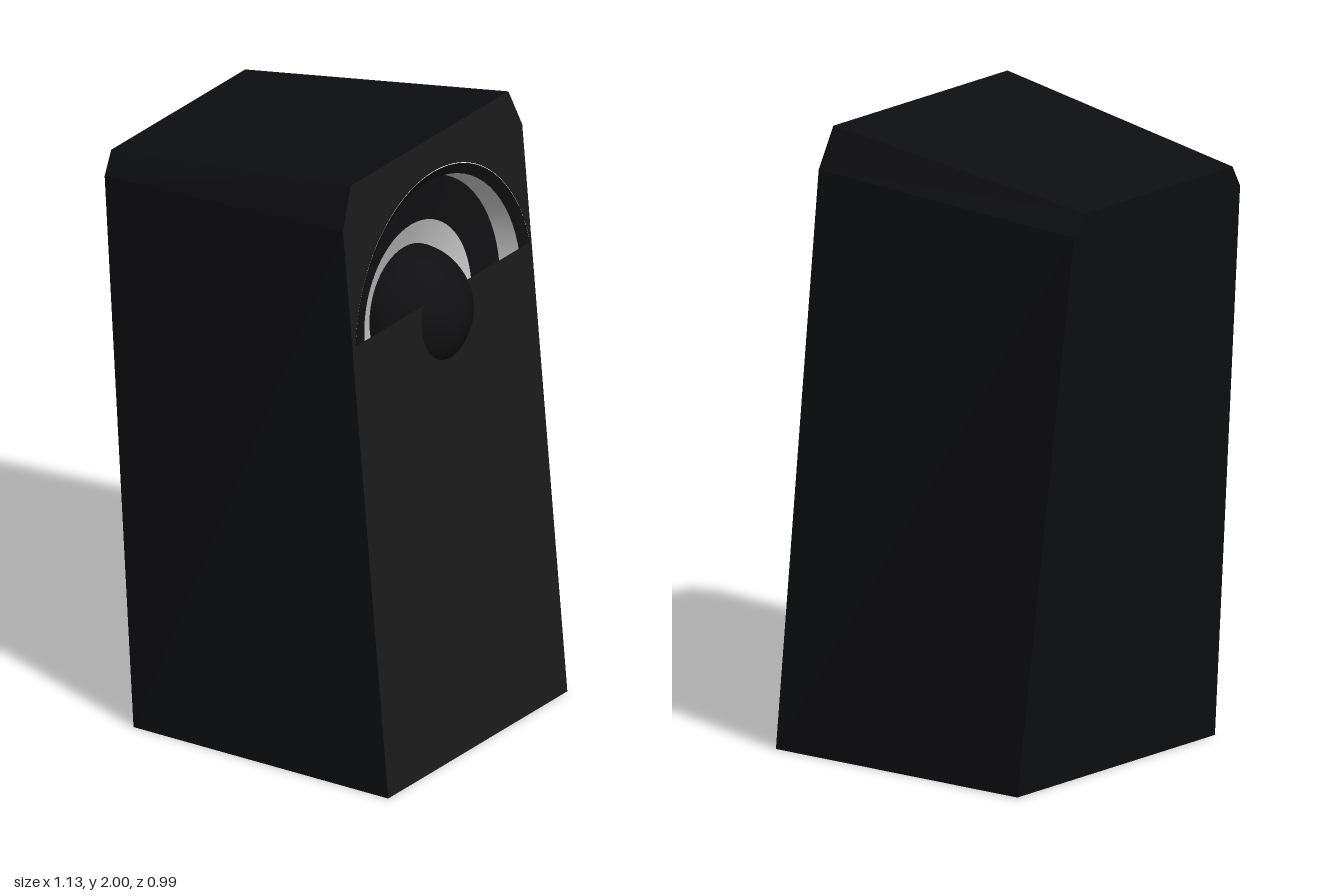
import * as THREE from 'three';

const mat = (color, extra = {}) => new THREE.MeshStandardMaterial({ color, ...extra });

// The front leans back: x of the baffle plane at height y
const LEAN = 0.09;
const frontX = (y) => 0.56 - LEAN * y;
const backX = (y) => -0.39 - LEAN * y;

// Driver centre and opening on the baffle
const CY = 1.41, CZ = -0.005, RIM = 0.48, CUT = 1.485;

// Chamfered outline, listed from the +z bottom corner round to the -z one, as [z, y]
function outline(bottom, shoulder, shoulderY, top, topY) {
  const half = [[bottom, 0], [shoulder, shoulderY], [top, topY]];
  return [...half, ...half.map(([z, y]) => [-z, y]).reverse()];
}
const frontLoop = outline(0.488, 0.488, 1.87, 0.43, 2.0);
const backLoop = outline(0.488, 0.41, 1.79, 0.365, 1.86);

// Tapered shell between the two outlines, with a closed back
function cabinetGeometry() {
  const pos = [];
  const F = frontLoop.map(([z, y]) => [frontX(y), y, z]);
  const B = backLoop.map(([z, y]) => [backX(y), y, z]);
  const n = F.length;
  for (let i = 0; i < n; i++) {
    const j = (i + 1) % n;
    pos.push(...B[i], ...F[i], ...F[j], ...B[i], ...F[j], ...B[j]);
    if (i > 0 && i < n - 1) pos.push(...B[0], ...B[i], ...B[i + 1]);
  }
  const g = new THREE.BufferGeometry();
  g.setAttribute('position', new THREE.Float32BufferAttribute(pos, 3));
  g.computeVertexNormals();
  return g;
}

// Flat baffle with an arched opening, laid onto the leaning front plane
function baffleGeometry() {
  const shape = new THREE.Shape(frontLoop.map(([z, y]) => new THREE.Vector2(-z, y)));
  const a = Math.asin((CUT - CY) / RIM);
  const hole = new THREE.Path();
  hole.absarc(-CZ, CY, RIM, a, Math.PI - a, false);
  hole.closePath();
  shape.holes.push(hole);
  const g = new THREE.ShapeGeometry(shape, 48);
  const p = g.attributes.position;
  for (let i = 0; i < p.count; i++) {
    const s = p.getX(i), y = p.getY(i);
    p.setXYZ(i, frontX(y), y, -s);
  }
  g.computeVertexNormals();
  return g;
}

export function createModel() {
  const model = new THREE.Group();
  model.name = 'loudspeaker';
  const body = mat(0x0d0e11);
  const panel = mat(0x1a1a1a, { side: THREE.DoubleSide });
  const dark = mat(0x101012, { side: THREE.DoubleSide });
  const light = mat(0xcccccc, { side: THREE.DoubleSide });

  const add = (parent, name, geometry, material) => {
    const m = new THREE.Mesh(geometry, material);
    m.name = name;
    parent.add(m);
    return m;
  };

  add(model, 'cabinet', cabinetGeometry(), body);
  add(model, 'frontBaffle', baffleGeometry(), panel);

  // Recessed driver: rings turned about the axis of the baffle
  const driver = new THREE.Group();
  driver.name = 'driver';
  driver.position.set(frontX(CY), CY, CZ);
  driver.rotation.z = Math.atan(LEAN) - Math.PI / 2;
  model.add(driver);

  // Each ring: outer radius, depth, inner radius, depth
  const rings = [
    ['recessRim', 0.48, 0, 0.445, 0.02, dark],
    ['outerTrimRing', 0.445, 0.02, 0.43, 0.09, light],
    ['cone', 0.43, 0.09, 0.29, 0.1, dark],
    ['innerTrimRing', 0.29, 0.1, 0.19, 0.15, light],
  ];
  for (const [name, r0, d0, r1, d1, material] of rings) {
    const profile = [new THREE.Vector2(r1, -d1), new THREE.Vector2(r0, -d0)];
    add(driver, name, new THREE.LatheGeometry(profile, 72), material);
  }

  // Dome that bulges through the baffle
  const dome = add(driver, 'dome', new THREE.SphereGeometry(0.205, 48, 32), mat(0x101012));
  dome.position.set(0, -0.15, -0.015);

  // Slight turn of the whole cabinet
  model.rotation.y = 0.011;
  return model;
}
